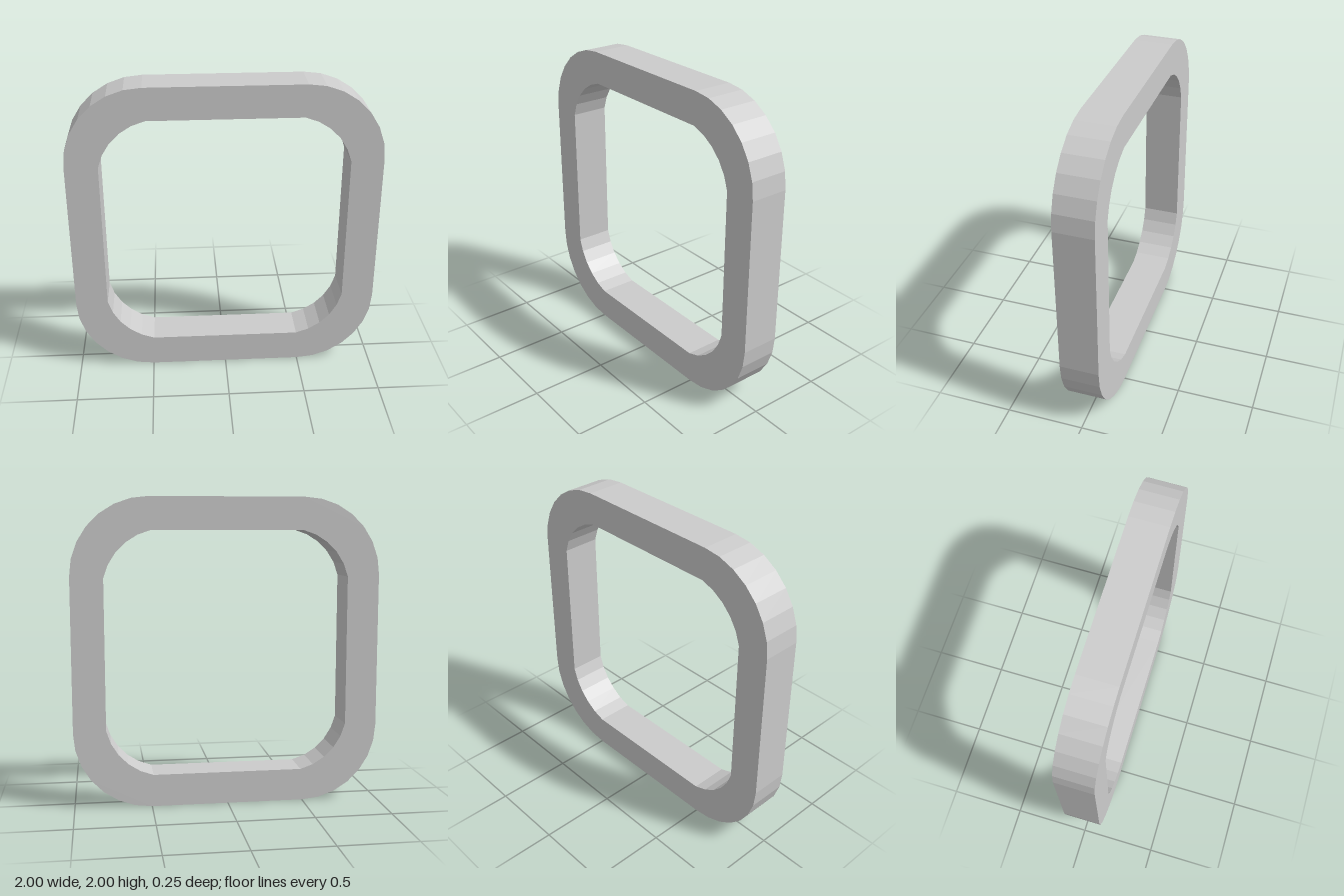
import * as THREE from 'three';

const STEPS = 7;      // facets per quarter turn
const DEPTH = 0.25;

// Corner points of a rounded square, skipping `trim` points at both ends of every corner arc
function roundedSquare(centre, radius, trim) {
  const points = [];
  for (let corner = 0; corner < 4; corner++) {
    const start = corner * Math.PI / 2;
    const cx = centre * Math.SQRT2 * Math.cos(start + Math.PI / 4);
    const cy = centre * Math.SQRT2 * Math.sin(start + Math.PI / 4);
    for (let i = trim; i <= STEPS - trim; i++) {
      const a = start + (i / STEPS) * Math.PI / 2;
      points.push(new THREE.Vector2(cx + radius * Math.cos(a), cy + radius * Math.sin(a)));
    }
  }
  return points;
}

export function createModel() {
  const group = new THREE.Group();
  group.name = 'roundedSquareRing';

  // Outer outline with a slightly sharper-cornered opening
  const outline = new THREE.Shape(roundedSquare(0.5, 0.5, 0));
  outline.holes.push(new THREE.Path(roundedSquare(0.4, 0.4, 1)));

  const geometry = new THREE.ExtrudeGeometry(outline, { depth: DEPTH, bevelEnabled: false });
  geometry.translate(0, 1, -DEPTH / 2);

  const frame = new THREE.Mesh(
    geometry,
    new THREE.MeshStandardMaterial({ color: 0xcccccc, flatShading: true })
  );
  frame.name = 'frame';
  group.add(frame);
  return group;
}
